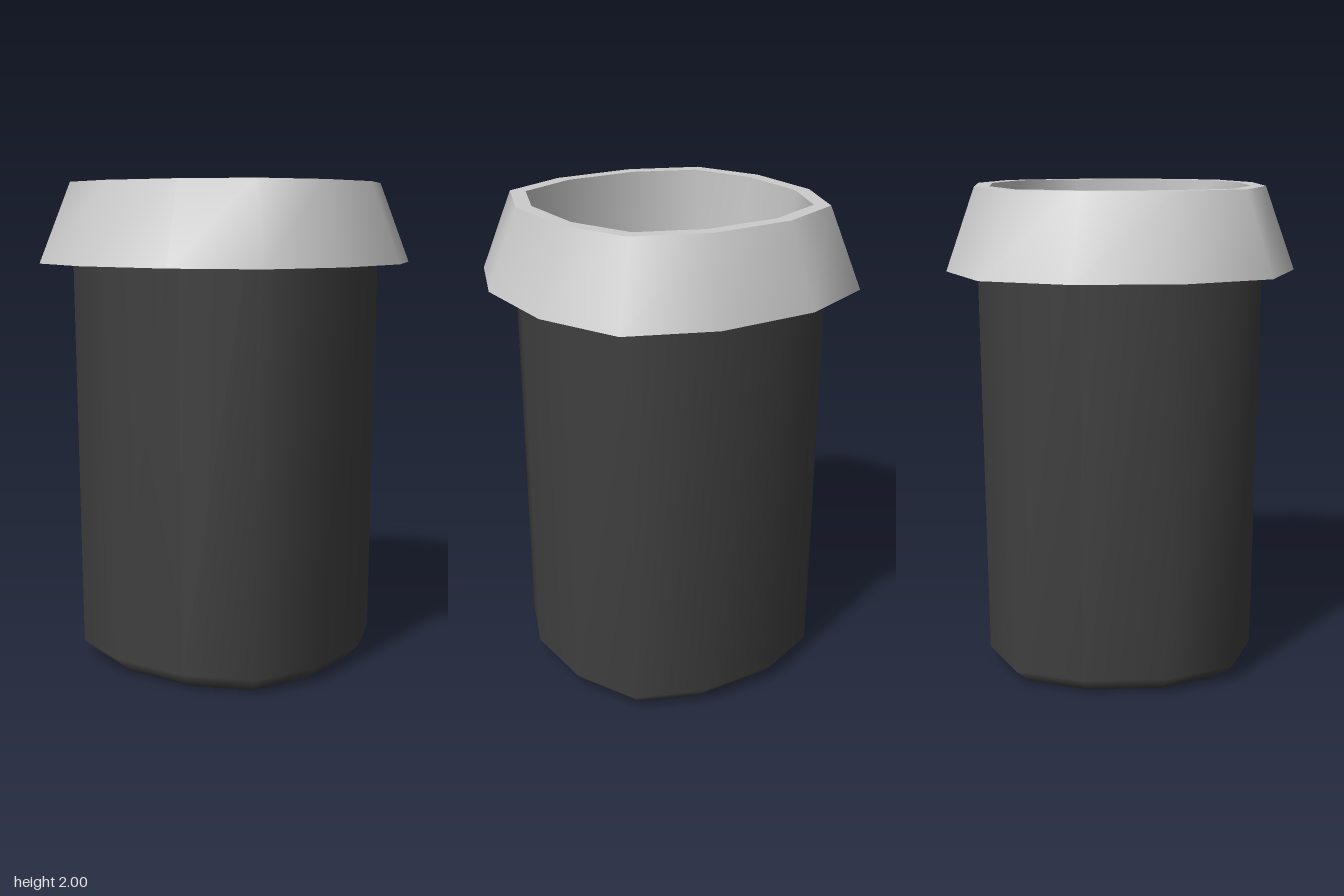
import * as THREE from 'three';

// One quarter of the twelve-sided, rounded-square outline (unit half width)
const QUARTER = [[1, -0.305], [1, 0.305], [0.797, 0.797]];
const OUTLINE = [];
for (let q = 0; q < 4; q++) {
  for (const [x, z] of QUARTER) {
    const c = [1, 0, -1, 0][q], s = [0, 1, 0, -1][q];
    OUTLINE.push([x * c - z * s, x * s + z * c]);
  }
}

// Joins scaled outlines, given as [half width, height]; cap is 'first', 'last' or none
function loft(name, profile, material, cap) {
  const n = OUTLINE.length, positions = [], index = [];
  for (const [r, y] of profile) {
    for (const [x, z] of OUTLINE) positions.push(x * r, y, z * r);
  }
  for (let j = 0; j < profile.length - 1; j++) {
    for (let i = 0; i < n; i++) {
      const a = j * n + i, c = j * n + (i + 1) % n, b = a + n, d = c + n;
      index.push(a, b, c, c, b, d);
    }
  }
  const last = (profile.length - 1) * n;
  for (let i = 1; i < n - 1; i++) {
    if (cap === 'first') index.push(0, i, i + 1);
    if (cap === 'last') index.push(last, last + i + 1, last + i);
  }
  const geometry = new THREE.BufferGeometry();
  geometry.setAttribute('position', new THREE.Float32BufferAttribute(positions, 3));
  geometry.setIndex(index);
  geometry.computeVertexNormals();
  const mesh = new THREE.Mesh(geometry, material);
  mesh.name = name;
  return mesh;
}

export function createModel() {
  const group = new THREE.Group();
  group.name = 'bin';
  const grey = new THREE.MeshStandardMaterial({ color: 0xcccccc });
  const skirt = new THREE.MeshStandardMaterial({ color: 0xcccccc, side: THREE.DoubleSide });
  const dark = new THREE.MeshStandardMaterial({ color: 0x404040 });

  group.add(
    // Dark outer shell with a chamfered foot and closed bottom
    loft('outerBody', [[0.49, 0], [0.555, 0.065], [0.576, 1.99]], dark, 'first'),
    // Flared skirt, open underneath
    loft('collar', [[0.695, 1.67], [0.58, 2]], skirt),
    // Flat lip around the opening
    loft('rim', [[0.58, 2], [0.52, 2]], grey),
    // Inner wall and floor
    loft('innerLiner', [[0.52, 2], [0.502, 0.12], [0.475, 0.06]], grey, 'last')
  );
  return group;
}
